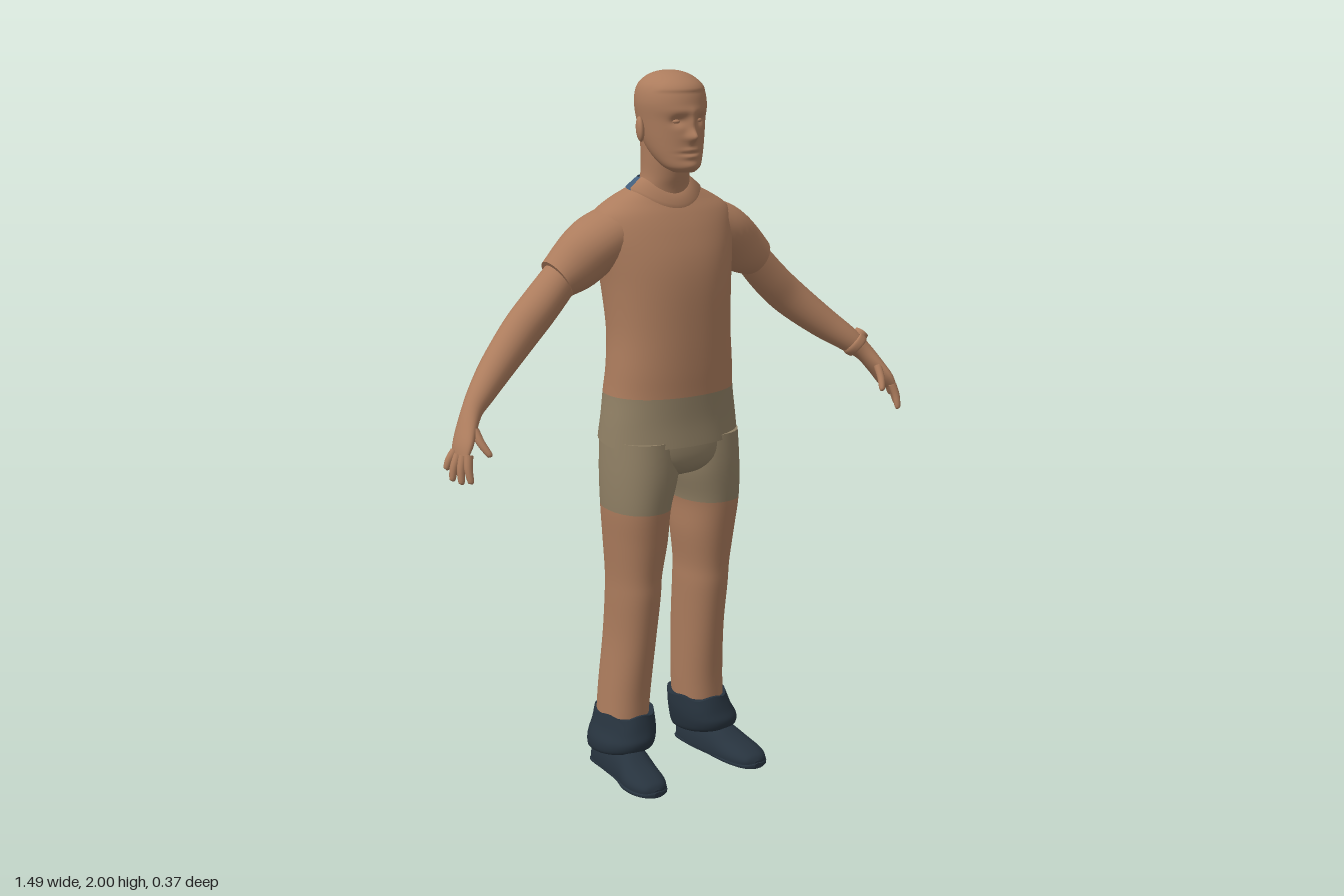
import * as THREE from 'three';

const mat = (name, color, side = THREE.FrontSide) => new THREE.MeshStandardMaterial({ name, color, side });
const bell = (d, w) => Math.exp(-(d * d) / (w * w));
const ramp = (v, a, b) => THREE.MathUtils.smoothstep(v, a, b);

// Smoothly interpolates control rows, n samples for each gap
function smooth(rows, n) {
  const out = [], last = rows.length - 1;
  for (let k = 0; k <= last * n; k++) {
    const i = Math.min(Math.floor(k / n), last - 1), t = k / n - i;
    const p = [i - 1, i, i + 1, i + 2].map((q) => rows[THREE.MathUtils.clamp(q, 0, last)]);
    out.push(rows[0].map((_, c) => {
      const [a, b, d, e] = p.map((r) => r[c]);
      return b + 0.5 * t * (d - a + t * (2 * a - 5 * b + 4 * d - e + t * (3 * (b - d) + e - a)));
    }));
  }
  return out;
}

// Skin over a list of rings; split = ring where the second material begins
function loft(rings, { closed = true, caps = true, split = 0 } = {}) {
  const pos = [], idx = [], m = rings[0].length, n = rings.length;
  rings.forEach((r) => r.forEach((v) => pos.push(v.x, v.y, v.z)));
  const cap = (ring, flip) => {
    const base = pos.length / 3, c = new THREE.Vector3();
    ring.forEach((v) => { pos.push(v.x, v.y, v.z); c.addScaledVector(v, 1 / m); });
    pos.push(c.x, c.y, c.z);
    for (let j = 0; j < m; j++) {
      const a = base + j, b = base + (j + 1) % m;
      idx.push(base + m, ...(flip ? [b, a] : [a, b]));
    }
  };
  if (caps) cap(rings[0], false);
  let mark = 0;
  for (let i = 0; i < n - 1; i++) {
    if (split && i === split) mark = idx.length;
    for (let j = 0; j < (closed ? m : m - 1); j++) {
      const a = i * m + j, b = i * m + (j + 1) % m;
      idx.push(a, a + m, b, b, a + m, b + m);
    }
  }
  if (caps) cap(rings[n - 1], true);
  const g = new THREE.BufferGeometry();
  g.setAttribute('position', new THREE.Float32BufferAttribute(pos, 3));
  g.setIndex(idx);
  if (split) { g.addGroup(0, mark, 0); g.addGroup(mark, idx.length - mark, 1); }
  g.computeVertexNormals();
  return g;
}

// Upright form from rows [y, centreX, halfWidth, zFront, zBack]
function upright(rows, { n = 5, seg = 48, power = 2, tweak, ...opt } = {}) {
  const e = 2 / power, pw = (v) => Math.sign(v) * Math.abs(v) ** e;
  return loft(smooth(rows, n).map(([y, cx, rx, zf, zb]) => Array.from({ length: seg }, (_, j) => {
    const a = j / seg * Math.PI * 2;
    const v = new THREE.Vector3(cx + rx * pw(Math.cos(a)), y, (zf + zb) / 2 + (zf - zb) / 2 * pw(Math.sin(a)));
    if (tweak) tweak(v, a);
    return v;
  })), opt);
}

// Limb along rows [x, y, z, thickness, width]
function limb(rows, n = 5, seg = 28) {
  const s = smooth(rows, n), at = (i) => new THREE.Vector3(...s[THREE.MathUtils.clamp(i, 0, s.length - 1)].slice(0, 3));
  return loft(s.map((r, i) => {
    const T = at(i + 1).sub(at(i - 1)).normalize();
    const N = T.clone().cross(new THREE.Vector3(0, 0, 1)).normalize(), B = N.clone().cross(T);
    return Array.from({ length: seg }, (_, j) => {
      const a = j / seg * Math.PI * 2;
      return at(i).addScaledVector(N, r[3] * Math.cos(a)).addScaledVector(B, r[4] * Math.sin(a));
    });
  }));
}

function mirror(geo) {
  const g = geo.clone().scale(-1, 1, 1), ix = g.index.array;
  for (let i = 0; i < ix.length; i += 3) [ix[i], ix[i + 1]] = [ix[i + 1], ix[i]];
  return g;
}

export function createModel() {
  const model = new THREE.Group();
  const skin = mat('skin', 0xac7c5d), khaki = mat('khaki', 0x8f7f64);
  const boot = mat('bootBlue', 0x27333e), blue = mat('collarBlue', 0x45617f, THREE.DoubleSide);
  const add = (name, geo, m) => { const o = new THREE.Mesh(geo, m); o.name = name; model.add(o); return o; };
  const pair = (name, geo, m) => { add(name + 'Left', geo, m); add(name + 'Right', mirror(geo), m); };

  // Shirt body, with the lower band in khaki and the hem raised at the back
  add('shirt', upright([
    [0.985, 0, 0.21, 0.118, -0.168], [1.05, 0, 0.203, 0.112, -0.16], [1.125, 0, 0.193, 0.112, -0.162],
    [1.2, 0, 0.187, 0.114, -0.152], [1.3, 0, 0.182, 0.113, -0.156], [1.42, 0, 0.19, 0.108, -0.173],
    [1.5, 0, 0.202, 0.095, -0.181], [1.57, 0, 0.215, 0.07, -0.178], [1.62, 0, 0.208, 0.045, -0.165],
    [1.655, 0, 0.16, 0.022, -0.148], [1.685, 0, 0.098, 0.005, -0.125], [1.7, 0, 0.065, 0, -0.11],
  ], { seg: 64, power: 2.2, split: 10, tweak: (v) => { v.y += Math.max(0, -v.z) * 0.15 * ramp(1.12 - v.y, 0, 0.135); } }),
  [khaki, skin]);

  // Collar: plain in front, blue behind the neck
  const collar = (from, to) => loft([[0.1, 0.9, -0.025], [0.108, 1, 0], [0.074, 0.72, 0.028]].map(([rx, k, dy]) =>
    Array.from({ length: 33 }, (_, j) => {
      const a = THREE.MathUtils.lerp(from, to, j / 32), s = Math.sin(a);
      return new THREE.Vector3(rx * Math.cos(a), 1.687 + dy - (s > 0 ? 0.042 * s * s : 0.002), -0.045 + s * k * (s > 0 ? 0.085 : 0.096));
    })), { closed: false, caps: false });
  add('collarFront', collar(0, Math.PI), skin);
  add('collarBack', collar(Math.PI, Math.PI * 2), blue);

  // Sleeves and arms down to the palm
  pair('sleeve', limb([
    [0.1, 1.59, -0.065, 0.07, 0.09], [0.2, 1.545, -0.067, 0.079, 0.092],
    [0.27, 1.493, -0.069, 0.076, 0.075], [0.327, 1.456, -0.07, 0.058, 0.064],
  ]), skin);
  pair('arm', limb([
    [0.3, 1.475, -0.07, 0.05, 0.055], [0.38, 1.39, -0.07, 0.054, 0.057], [0.45, 1.325, -0.06, 0.054, 0.052],
    [0.54, 1.25, -0.025, 0.046, 0.046], [0.61, 1.195, 0.015, 0.036, 0.037], [0.65, 1.158, 0.038, 0.027, 0.031],
    [0.68, 1.115, 0.06, 0.022, 0.038], [0.7, 1.08, 0.078, 0.018, 0.042], [0.712, 1.055, 0.088, 0.011, 0.036],
  ]), skin);

  // Fingers and thumb: base, tip
  [[[0.702, 1.065, 0.114], [0.708, 1.0, 0.134]], [[0.71, 1.062, 0.1], [0.725, 0.997, 0.115]],
    [[0.715, 1.062, 0.082], [0.738, 1.002, 0.09]], [[0.715, 1.068, 0.063], [0.74, 1.025, 0.062]],
    [[0.668, 1.12, 0.085], [0.65, 1.062, 0.13]]].forEach(([a, b], i) => {
    const mid = a.map((v, k) => (v + b[k]) / 2 + (k === 0 ? 0.004 : 0));
    const tip = a.map((v, k) => b[k] + (b[k] - v) * 0.08);
    pair(i < 4 ? 'finger' + (i + 1) : 'thumb', limb([
      [...a, 0.012, 0.012], [...mid, 0.011, 0.011], [...b, 0.008, 0.008], [...tip, 0.001, 0.001]], 4, 12), skin);
  });

  // Wristband and its round case on the left arm
  add('wristband', limb([[0.621, 1.187, 0.021, 0.035, 0.037], [0.624, 1.184, 0.023, 0.039, 0.041],
    [0.636, 1.174, 0.03, 0.036, 0.039], [0.639, 1.171, 0.032, 0.031, 0.034]], 3), skin);
  const dial = add('wristbandCase', new THREE.CylinderGeometry(0.021, 0.023, 0.016, 24), skin);
  dial.position.set(0.65, 1.207, 0.024);
  dial.rotation.z = -0.75;

  // Neck
  add('neck', upright([[1.62, 0, 0.08, 0.015, -0.12], [1.68, 0, 0.075, 0.018, -0.112], [1.72, 0, 0.067, 0.028, -0.107],
    [1.77, 0, 0.067, 0.035, -0.106], [1.83, 0, 0.07, 0.03, -0.105]]), skin);

  // Head with modelled brow, eyes, nose, lips and chin
  add('head', upright([
    [1.735, 0, 0.03, 0.083, 0.02], [1.75, 0, 0.052, 0.092, -0.01], [1.78, 0, 0.069, 0.092, -0.055],
    [1.82, 0, 0.081, 0.092, -0.092], [1.87, 0, 0.089, 0.092, -0.112], [1.92, 0, 0.094, 0.094, -0.119],
    [1.96, 0, 0.085, 0.08, -0.11], [1.985, 0, 0.06, 0.05, -0.083], [1.997, 0, 0.03, 0.015, -0.05], [2, 0, 0.001, -0.017, -0.019],
  ], {
    n: 10, seg: 128, tweak: (v) => {
      if (v.z < 0.02) return;
      const { x, y } = v;
      const d = bell(x, 0.012) * (0.021 * bell(y - 1.834, 0.018) + 0.01 * bell(y - 1.87, 0.022))
        + 0.006 * bell(x, 0.022) * bell(y - 1.829, 0.009)
        - 0.012 * bell(Math.abs(x) - 0.035, 0.018) * bell(y - 1.872, 0.013)
        + 0.005 * bell(x, 0.06) * bell(y - 1.898, 0.012)
        + 0.006 * bell(x, 0.026) * (bell(y - 1.795, 0.006) + bell(y - 1.778, 0.007))
        - 0.004 * bell(x, 0.03) * bell(y - 1.787, 0.004)
        + 0.006 * bell(x, 0.028) * bell(y - 1.753, 0.013)
        + 0.004 * ramp(y, 1.945, 1.955) * ramp(2 - y, 0, 0.04);
      v.z += d * ramp(v.z, 0.02, 0.05);
    },
  }), skin);
  pair('eye', new THREE.SphereGeometry(0.012, 20, 14).scale(1.1, 0.6, 1).translate(0.034, 1.871, 0.066), skin);
  pair('ear', new THREE.SphereGeometry(1, 20, 16).scale(0.011, 0.034, 0.021).rotateY(0.35).rotateX(-0.15).translate(0.093, 1.847, -0.018), skin);

  // Hips and legs, khaki above mid-thigh
  add('hips', upright([[0.885, 0, 0.05, 0.04, -0.08], [0.905, 0, 0.12, 0.085, -0.125], [0.94, 0, 0.19, 0.108, -0.146],
    [1.0, 0, 0.2, 0.11, -0.15], [1.06, 0, 0.19, 0.1, -0.145]], { power: 2.3 }), khaki);
  pair('leg', upright([
    [0.17, 0.131, 0.069, 0.018, -0.152], [0.25, 0.126, 0.068, 0.024, -0.152], [0.4, 0.118, 0.065, 0.045, -0.143],
    [0.53, 0.116, 0.068, 0.064, -0.13], [0.6, 0.116, 0.07, 0.07, -0.127], [0.7, 0.114, 0.081, 0.086, -0.13],
    [0.8, 0.116, 0.088, 0.1, -0.131], [0.9, 0.104, 0.101, 0.108, -0.142], [1.0, 0.1, 0.1, 0.105, -0.145],
  ], { power: 2.2, split: 30 }), [skin, khaki]);

  // Boot cuffs with a wavy top
  pair('bootCuff', upright([
    [0.06, 0.147, 0.07, 0.03, -0.14], [0.07, 0.147, 0.086, 0.05, -0.16], [0.1, 0.143, 0.091, 0.054, -0.164],
    [0.135, 0.133, 0.086, 0.042, -0.16], [0.172, 0.127, 0.08, 0.027, -0.158],
  ], { power: 2.2, tweak: (v, a) => { v.y += 0.005 * Math.sin(5 * a) * ramp(v.y, 0.13, 0.17) + 0.12 * (v.z + 0.05) * ramp(0.13 - v.y, 0, 0.06); } }), boot);

  // Feet: rows [z, centreX, halfWidth, height], flat underneath
  const foot = (rows, lip) => loft(smooth(rows, 5).map(([z, cx, w, h]) => Array.from({ length: 36 }, (_, j) => {
    const a = j / 36 * Math.PI * 2, s = Math.sin(a), c = Math.cos(a), b = Math.min(lip, h * 0.5);
    return new THREE.Vector3(cx - w * Math.sign(c) * Math.abs(c) ** (s < 0 ? 0.4 : 0.85), s > 0 ? b + (h - b) * s : b * (1 - Math.abs(s) ** 0.4), z);
  })));
  pair('shoe', foot([
    [-0.143, 0.15, 0.03, 0.07], [-0.125, 0.15, 0.055, 0.09], [-0.05, 0.152, 0.06, 0.1], [0.03, 0.159, 0.058, 0.088],
    [0.09, 0.169, 0.06, 0.062], [0.14, 0.173, 0.053, 0.05], [0.173, 0.174, 0.036, 0.037], [0.185, 0.174, 0.012, 0.022],
  ], 0.018), boot);
  pair('sole', foot([
    [-0.147, 0.15, 0.03, 0.016], [-0.128, 0.15, 0.057, 0.018], [-0.05, 0.152, 0.06, 0.018], [0.03, 0.16, 0.058, 0.018],
    [0.09, 0.17, 0.063, 0.018], [0.14, 0.174, 0.056, 0.018], [0.175, 0.174, 0.038, 0.018], [0.188, 0.174, 0.012, 0.016],
  ], 0.016), boot);

  return model;
}
